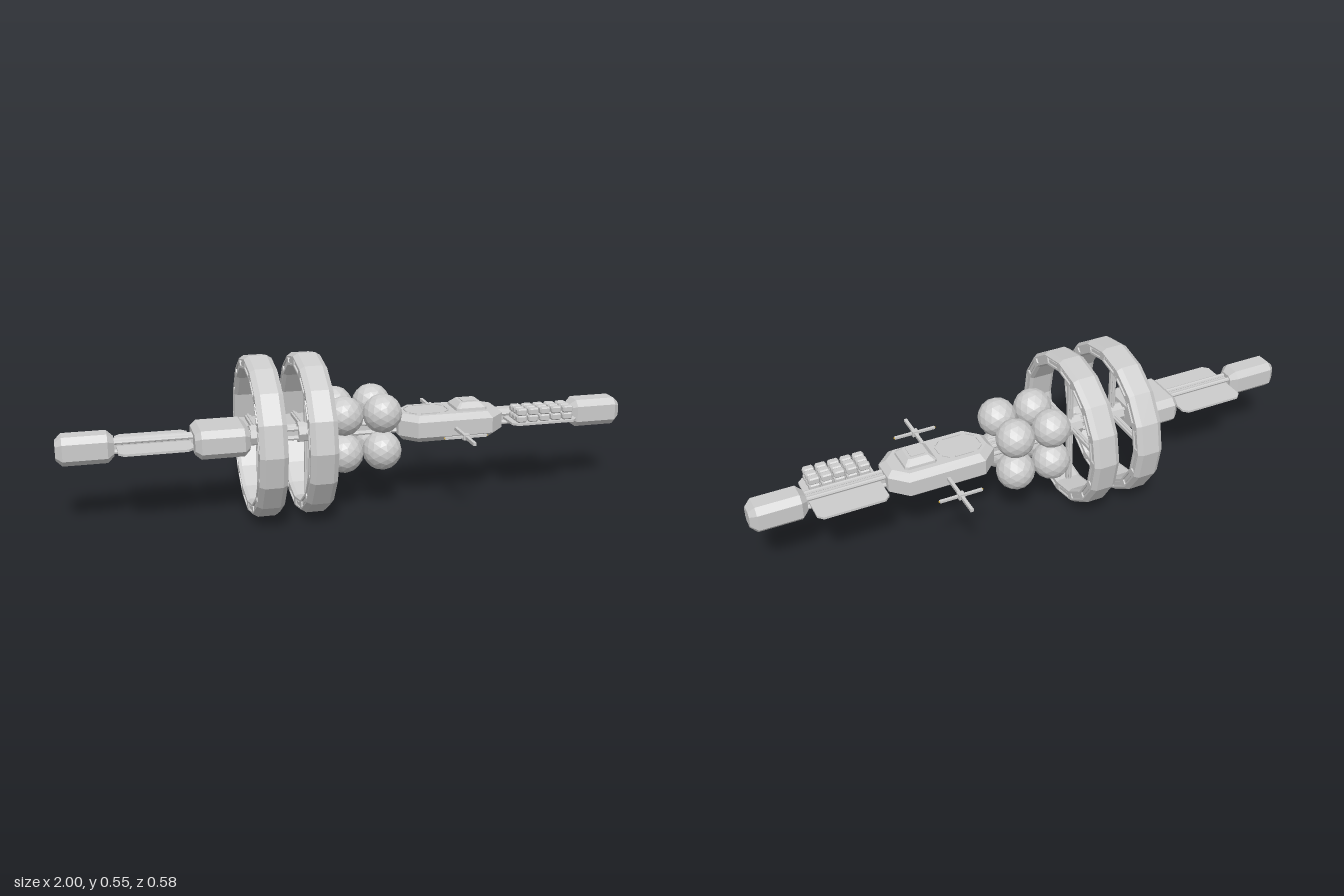
import * as THREE from 'three';

const CY = 0.279; // height of the main axis
const grey = new THREE.MeshStandardMaterial({ color: 0xcccccc, flatShading: true, side: THREE.DoubleSide });
const amber = new THREE.MeshStandardMaterial({ color: 0xc8a030, flatShading: true });

function add(parent, name, geometry, x = 0, y = 0, z = 0, material = grey) {
  const mesh = new THREE.Mesh(geometry, material);
  mesh.name = name;
  mesh.position.set(x, y, z);
  parent.add(mesh);
  return mesh;
}
const box = (w, h, d) => new THREE.BoxGeometry(w, h, d);

// Octagon with half sizes a, b and corner cut c
const octagon = (a, b, c) => [
  [a, c - b], [a, b - c], [a - c, b], [c - a, b], [-a, b - c], [-a, c - b], [c - a, -b], [a - c, -b]];

// Skin a stack of octagons [position, a, b, cut] along x (section in z,y) or y (section in z,x)
function loft(axis, stack) {
  const rings = stack.map(([p, a, b, c]) => octagon(a, b, c).map(([u, v]) =>
    axis === 'x' ? [p, v, u] : [v, p, u]));
  const pos = [];
  const tri = (a, b, c) => (axis === 'x' ? pos.push(...a, ...c, ...b) : pos.push(...a, ...b, ...c));
  for (let r = 0; r < rings.length - 1; r++) {
    for (let i = 0; i < 8; i++) {
      const j = (i + 1) % 8, A = rings[r], B = rings[r + 1];
      tri(A[i], A[j], B[j]);
      tri(A[i], B[j], B[i]);
    }
  }
  const end = rings[rings.length - 1];
  for (let i = 1; i < 7; i++) {
    tri(rings[0][0], rings[0][i + 1], rings[0][i]);
    tri(end[0], end[i], end[i + 1]);
  }
  const g = new THREE.BufferGeometry();
  g.setAttribute('position', new THREE.Float32BufferAttribute(pos, 3));
  g.computeVertexNormals();
  return g;
}

// Sixteen-sided wheel with recessed side panels and four spokes
function wheel() {
  const group = new THREE.Group();
  group.name = 'habitatWheel';
  const half = [[0.277, 0.03], [0.266, 0.047], [0.261, 0.047], [0.261, 0.041],
    [0.241, 0.041], [0.241, 0.047], [0.234, 0.047], [0.228, 0.036]];
  const profile = [...half.slice().reverse().map(([r, y]) => [r, -y]), ...half, [0.228, -0.036]];
  const rim = new THREE.LatheGeometry(profile.map(p => new THREE.Vector2(...p)), 16);
  add(group, 'rim', rim.rotateZ(Math.PI / 2));
  for (let i = 0; i < 16; i++) {
    const corner = new THREE.Group(), bay = new THREE.Group();
    corner.name = 'rimCorner';
    bay.name = 'rimBay';
    corner.rotation.x = i * Math.PI / 8;
    bay.rotation.x = (i + 0.5) * Math.PI / 8;
    for (const s of [-1, 1]) {
      add(corner, 'panelDivider', box(0.007, 0.021, 0.026), s * 0.0434, 0.25, 0);
      add(bay, 'panelInsert', box(0.004, 0.009, 0.062), s * 0.042, 0.246, 0);
    }
    group.add(corner, bay);
  }
  for (let i = 0; i < 4; i++) {
    const spoke = new THREE.Group();
    spoke.name = 'spoke';
    spoke.rotation.x = i * Math.PI / 2;
    add(spoke, 'spokeCore', box(0.022, 0.22, 0.012), 0, 0.12, 0);
    for (const s of [-1, 1]) {
      add(spoke, 'spokeRail', new THREE.CylinderGeometry(0.005, 0.005, 0.22, 8), 0, 0.12, s * 0.0075);
    }
    group.add(spoke);
  }
  add(group, 'hub', new THREE.CylinderGeometry(0.036, 0.036, 0.07, 8).rotateZ(Math.PI / 2));
  return group;
}

// Boom with a crossbar and small lamps on the bar ends
function antenna(side) {
  const group = new THREE.Group();
  group.name = 'antenna';
  group.position.set(0.35, 0, 0);
  add(group, 'boom', box(0.011, 0.011, 0.2), 0, 0, side * 0.188);
  add(group, 'crossbar', box(0.15, 0.008, 0.01), 0, 0, side * 0.2);
  add(group, 'joint', box(0.022, 0.02, 0.022), 0, 0, side * 0.2);
  for (const s of [-1, 1]) {
    add(group, 'lamp', new THREE.IcosahedronGeometry(0.004, 1), s * 0.075, 0, side * 0.2, amber);
  }
  return group;
}

// Thin plate with cut corners
const plate = () => loft('y', [[-0.004, 0.116, 0.122, 0.018], [0.004, 0.116, 0.122, 0.018]]);

export function createModel() {
  const model = new THREE.Group();
  model.name = 'spacecraft';
  const ship = new THREE.Group();
  ship.name = 'ship';
  ship.position.y = CY;
  model.add(ship);

  // Spine: a core with rails along its edges
  add(ship, 'spineCore', box(1.7, 0.03, 0.03));
  for (const y of [-1, 1]) for (const z of [-1, 1]) {
    add(ship, 'spineRail', new THREE.CylinderGeometry(0.008, 0.008, 1.7, 8).rotateZ(Math.PI / 2),
      0, y * 0.016, z * 0.016);
  }

  // End pods and the plates beside them
  for (const s of [-1, 1]) {
    add(ship, 'endPod', loft('x', [[-0.095, 0.03, 0.03, 0.012], [-0.073, 0.049, 0.049, 0.021],
      [0.073, 0.049, 0.049, 0.021], [0.095, 0.03, 0.03, 0.012]]), s * 0.905, 0, 0);
    add(ship, 'sidePlate', plate(), s * 0.68, 0, 0);
  }

  // Rear block
  add(ship, 'rearBlock', loft('x', [[-0.55, 0.075, 0.034, 0.016], [-0.53, 0.094, 0.049, 0.022],
    [-0.385, 0.094, 0.049, 0.022], [-0.365, 0.075, 0.034, 0.016]]));

  // Wheels
  for (const x of [-0.322, -0.155]) {
    const w = wheel();
    w.position.x = x;
    ship.add(w);
  }

  // Cluster of eight tanks
  for (const x of [-0.044, 0.092]) for (const y of [-1, 1]) for (const z of [-1, 1]) {
    add(ship, 'tank', new THREE.IcosahedronGeometry(0.068, 2), x, y * 0.066, z * 0.072);
  }

  // Main hull, bevelled above and below
  add(ship, 'hull', loft('y', [[-0.047, 0.074, 0.17, 0.045], [-0.026, 0.098, 0.191, 0.055],
    [0.028, 0.098, 0.191, 0.055], [0.047, 0.074, 0.17, 0.045]]), 0.35, 0, 0);
  add(ship, 'bridge', loft('y', [[0.044, 0.057, 0.057, 0.008], [0.056, 0.055, 0.055, 0.008],
    [0.073, 0.036, 0.036, 0.006]]), 0.425, 0, 0);
  add(ship, 'bridgeRoof', box(0.05, 0.004, 0.05), 0.425, 0.073, 0);

  // Broken rail around the deck
  const deck = octagon(0.055, 0.075, 0.028);
  deck.forEach(([z, x], i) => {
    const [z2, x2] = deck[(i + 1) % 8];
    const rail = add(ship, 'deckRail', box(Math.hypot(x2 - x, z2 - z) * 0.7, 0.004, 0.004),
      0.272 + (x + x2) / 2, 0.048, (z + z2) / 2);
    rail.rotation.y = Math.atan2(z - z2, x2 - x);
  });

  // Antennas on both sides
  ship.add(antenna(1), antenna(-1));

  // Cargo canisters on one side of the forward plate
  for (let i = 0; i < 5; i++) for (let j = 0; j < 3; j++) for (let k = 0; k < 2; k++) {
    add(ship, 'canister', loft('x', [[-0.019, 0.008, 0.008, 0.004], [-0.014, 0.013, 0.012, 0.004],
      [0.014, 0.013, 0.012, 0.004], [0.019, 0.008, 0.008, 0.004]]),
      0.592 + i * 0.043, 0.017 + k * 0.025, 0.04 + j * 0.029);
  }
  return model;
}
